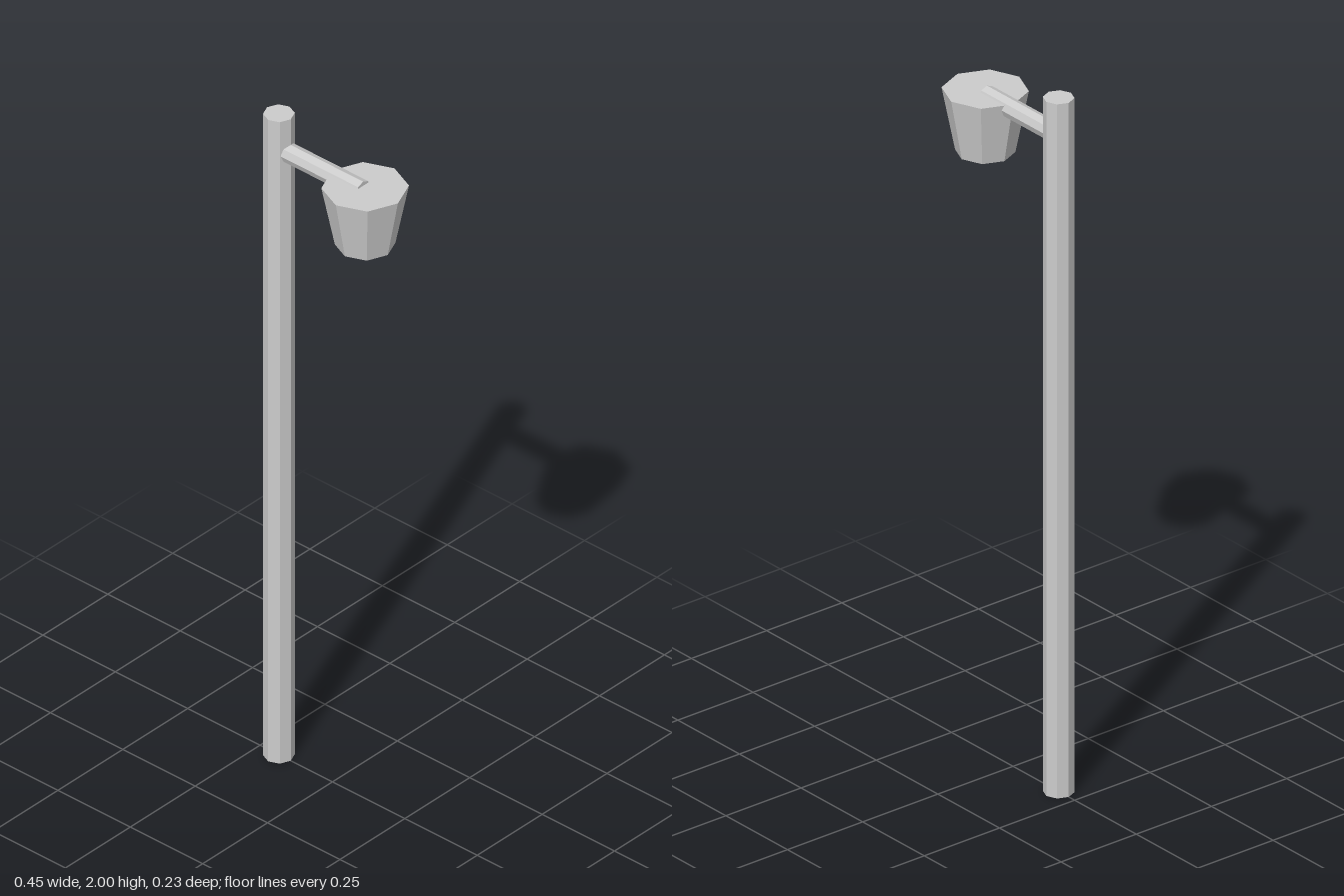
import * as THREE from 'three';

const SIDES = 8;

export function createModel() {
  const group = new THREE.Group();
  const material = new THREE.MeshStandardMaterial({ color: 0xcccccc, flatShading: true });

  // Eight-sided capped cylinder with a vertex on each axis
  const addCylinder = (name, topRadius, bottomRadius, length, x, y) => {
    const geometry = new THREE.CylinderGeometry(topRadius, bottomRadius, length, SIDES);
    const mesh = new THREE.Mesh(geometry, material);
    mesh.name = name;
    mesh.position.set(x, y, 0);
    group.add(mesh);
    return mesh;
  };

  // Upright post
  const poleX = -0.185;
  addCylinder('pole', 0.041, 0.041, 2, poleX, 1);

  // Horizontal arm, from the post's axis to the middle of the shade
  const armEnd = 0.106;
  const arm = addCylinder('arm', 0.027, 0.027, armEnd - poleX, (poleX + armEnd) / 2, 1.893);
  arm.rotation.z = Math.PI / 2;

  // Closed lamp shade, narrowing downwards
  const shadeTop = 1.907, shadeBottom = 1.73;
  addCylinder('lampShade', 0.113, 0.078, shadeTop - shadeBottom, 0.113, (shadeTop + shadeBottom) / 2);

  return group;
}
